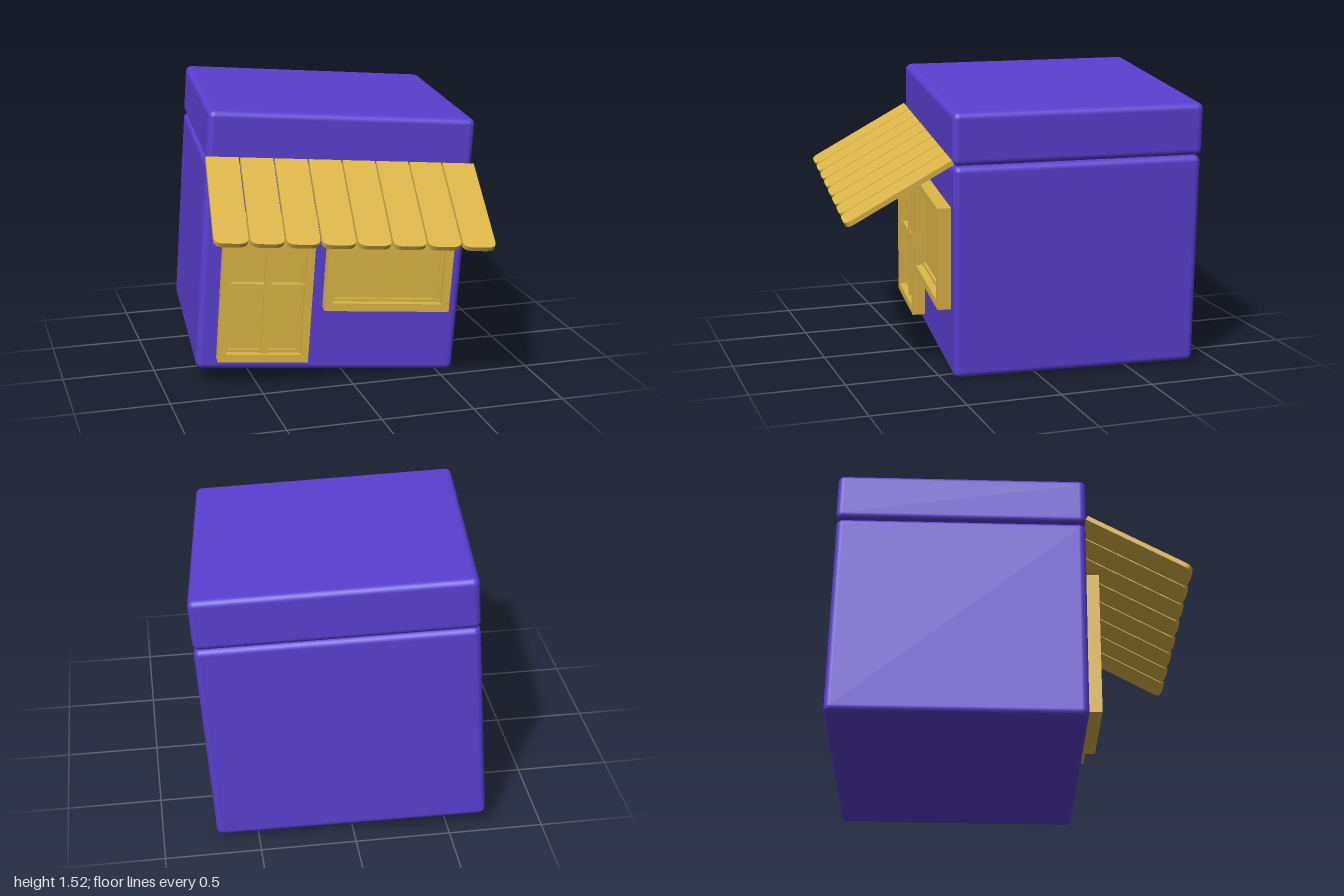
import * as THREE from 'three';
import { RoundedBoxGeometry } from 'three/addons/geometries/RoundedBoxGeometry.js';

const purple = new THREE.MeshStandardMaterial({ color: 0x5a3fd0 });
const gold = new THREE.MeshStandardMaterial({ color: 0xdcb548 });
const WALL = 0.655; // front wall plane

function add(parent, name, geometry, material, x = 0, y = 0, z = 0) {
  const mesh = new THREE.Mesh(geometry, material);
  mesh.name = name;
  mesh.position.set(x, y, z);
  parent.add(mesh);
  return mesh;
}

// Rectangular ring of the given border width, extruded forward from z = 0
function frameGeometry(w, h, border, depth) {
  const rect = (shape, a, b) => shape.moveTo(-a, -b).lineTo(a, -b).lineTo(a, b).lineTo(-a, b).closePath();
  const shape = rect(new THREE.Shape(), w / 2, h / 2);
  shape.holes.push(rect(new THREE.Path(), w / 2 - border, h / 2 - border));
  return new THREE.ExtrudeGeometry(shape, { depth, bevelEnabled: false });
}

// Framed opening with a stepped inner lip and a recessed pane
function opening(parent, name, x0, x1, y0, y1, border) {
  const w = x1 - x0, h = y1 - y0;
  const g = new THREE.Group();
  g.name = name;
  g.position.set((x0 + x1) / 2, (y0 + y1) / 2, WALL);
  add(g, name + 'Frame', frameGeometry(w, h, border, 0.075), gold);
  add(g, name + 'Lip', frameGeometry(w - 2 * border, h - 2 * border, 0.016, 0.035), gold);
  add(g, name + 'Pane', new THREE.BoxGeometry(w - 2 * border, h - 2 * border, 0.02), gold, 0, 0, 0.01);
  parent.add(g);
  return g;
}

// Awning slat: hangs down from y = 0, rounded lower corners
function slatGeometry(w, length, thickness) {
  const a = w / 2, r = 0.055, s = 0.04;
  const shape = new THREE.Shape();
  shape.moveTo(-a, 0);
  shape.lineTo(-a, -length + s);
  shape.quadraticCurveTo(-a, -length, -a + r, -length);
  shape.lineTo(a - r, -length);
  shape.quadraticCurveTo(a, -length, a, -length + s);
  shape.lineTo(a, 0);
  shape.closePath();
  return new THREE.ExtrudeGeometry(shape, { depth: thickness, bevelEnabled: false, curveSegments: 8 });
}

export function createModel() {
  const model = new THREE.Group();
  model.name = 'shop';

  // The whole shop leans and turns slightly
  const shop = new THREE.Group();
  shop.name = 'tiltedShop';
  const u = new THREE.Vector3(0.9926, -0.069, 0.0995).normalize();
  const w = new THREE.Vector3().crossVectors(u, new THREE.Vector3(0.068, 0.9976, 0.0145)).normalize();
  const v = new THREE.Vector3().crossVectors(w, u);
  shop.quaternion.setFromRotationMatrix(new THREE.Matrix4().makeBasis(u, v, w));
  shop.position.set(-0.051, 0.05, -0.283);
  model.add(shop);

  // Building
  add(shop, 'walls', new RoundedBoxGeometry(1.42, 1.14, 1.315, 5, 0.035), purple, 0, 0.57, 0);
  add(shop, 'roofBlock', new RoundedBoxGeometry(1.42, 0.277, 1.325, 5, 0.035), purple, 0, 1.279, 0);

  // Door with crossed bars
  const door = opening(shop, 'door', -0.605, -0.117, 0.072, 0.88, 0.042);
  add(door, 'doorVerticalBar', new THREE.BoxGeometry(0.036, 0.724, 0.055), gold, 0.005, 0, 0.0275);
  add(door, 'doorCrossBar', new THREE.BoxGeometry(0.404, 0.036, 0.055), gold, 0, 0.01, 0.0275);

  // Shop window
  opening(shop, 'window', -0.046, 0.638, 0.364, 0.91, 0.043);

  // Awning of eight slats
  const awning = new THREE.Group();
  awning.name = 'awning';
  awning.position.set(0, 1.157, 0.657);
  awning.rotation.x = -1.064;
  const slat = slatGeometry(0.172, 0.625, 0.026);
  for (let i = 0; i < 8; i++) add(awning, 'awningSlat', slat, gold, (i - 3.5) * 0.18, 0, 0);
  shop.add(awning);

  return model;
}
